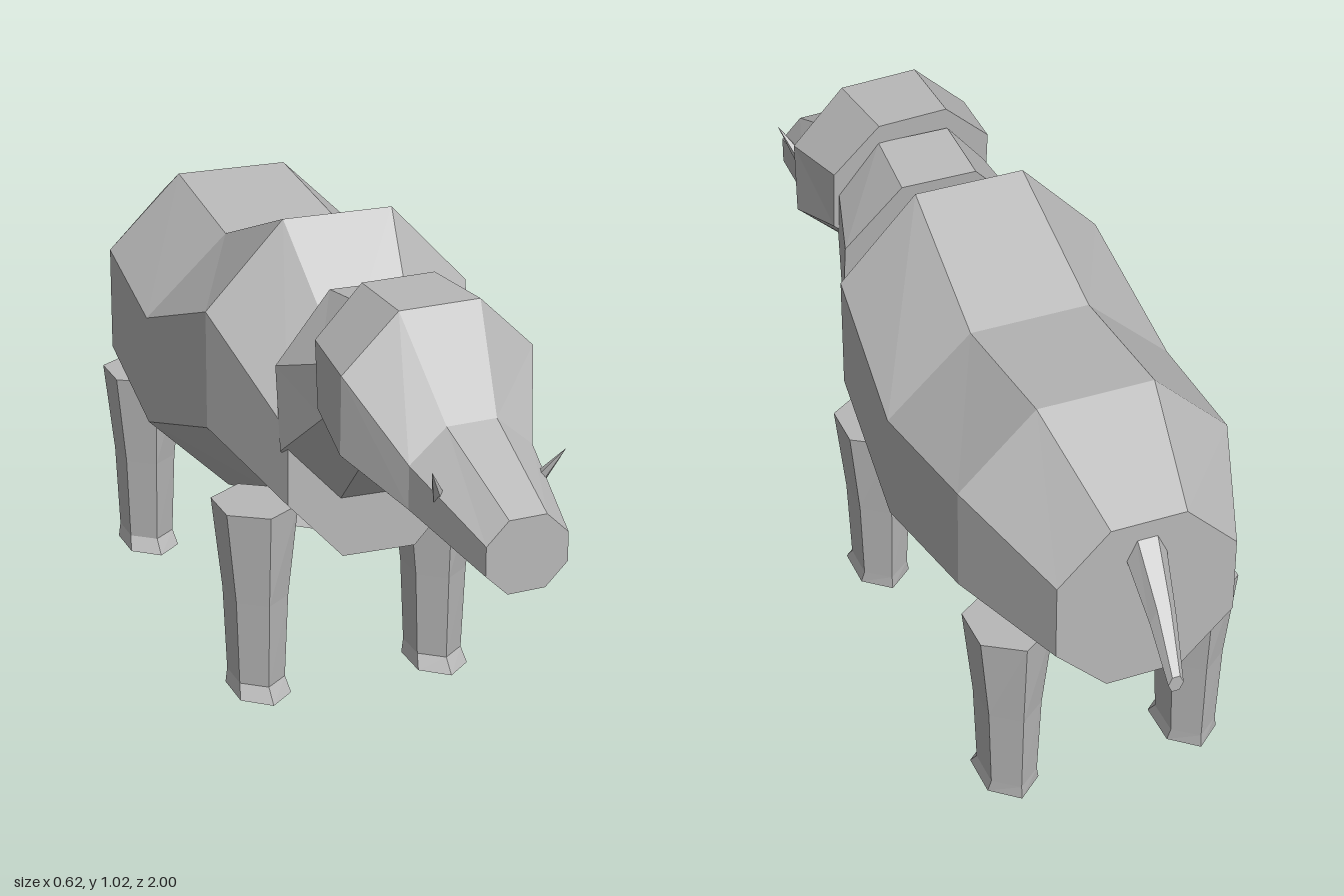
import * as THREE from 'three';

const hide = new THREE.MeshStandardMaterial({ color: 0xb8b8b8, flatShading: true });
hide.name = 'grey hide';

// Skin over rings of points, counter-clockwise about the direction of travel, with closed ends
function loft(name, rings) {
  const n = rings[0].length, index = [];
  for (let r = 0; r < rings.length - 1; r++) {
    for (let i = 0; i < n; i++) {
      const j = (i + 1) % n, a = r * n, b = a + n;
      index.push(a + i, a + j, b + j, a + i, b + j, b + i);
    }
  }
  const last = (rings.length - 1) * n;
  for (let i = 1; i < n - 1; i++) index.push(0, i + 1, i, last, last + i, last + i + 1);
  const g = new THREE.BufferGeometry();
  g.setAttribute('position', new THREE.Float32BufferAttribute(rings.flat(2), 3));
  g.setIndex(index);
  const flat = g.toNonIndexed();
  flat.computeVertexNormals();
  const mesh = new THREE.Mesh(flat, hide);
  mesh.name = name;
  return mesh;
}

// Octagon across z: heights of the four corner rows, half widths, z at top and bottom
function octagon([zTop, zBottom, top, upper, lower, bottom, xFlat, xSide]) {
  const z = y => zBottom + (zTop - zBottom) * (y - bottom) / (top - bottom);
  return [
    [xSide, lower], [xSide, upper], [xFlat, top], [-xFlat, top],
    [-xSide, upper], [-xSide, lower], [-xFlat, bottom], [xFlat, bottom],
  ].map(([x, y]) => [x, y, z(y)]);
}

// Six-sided leg section at height y, pointed to the front and back
function legRing([y, halfWidth, back, front]) {
  const mid = (front + back) / 2, r = (front - back) / 2;
  return Array.from({ length: 6 }, (_, i) => {
    const a = Math.PI / 6 + i * Math.PI / 3;
    return [Math.cos(a) / Math.cos(Math.PI / 6) * halfWidth, y, mid - Math.sin(a) * r];
  });
}

export function createModel() {
  const model = new THREE.Group();
  model.name = 'animal';

  // Barrel body with a high shoulder
  model.add(loft('body', [
    [-0.80, -0.80, 0.81, 0.70, 0.53, 0.42, 0.08, 0.19],
    [-0.54, -0.54, 0.93, 0.77, 0.54, 0.375, 0.125, 0.29],
    [-0.21, -0.21, 0.89, 0.72, 0.48, 0.305, 0.13, 0.312],
    [0.12, 0.12, 1.02, 0.84, 0.585, 0.40, 0.12, 0.29],
    [0.36, 0.36, 0.77, 0.65, 0.49, 0.36, 0.08, 0.20],
  ].map(octagon)));

  // Neck, leaning forward
  model.add(loft('neck', [
    [0.295, 0.36, 0.92, 0.78, 0.605, 0.49, 0.085, 0.21],
    [0.45, 0.49, 0.94, 0.83, 0.72, 0.63, 0.08, 0.17],
  ].map(octagon)));

  // Head and snout, turned slightly to one side
  const head = new THREE.Group();
  head.name = 'head';
  head.position.z = 0.45;
  head.rotation.y = 0.07;
  head.add(loft('skull', [
    [0, 0.03, 0.985, 0.885, 0.745, 0.635, 0.08, 0.185],
    [0.18, 0.17, 0.985, 0.87, 0.705, 0.592, 0.088, 0.208],
    [0.32, 0.32, 0.792, 0.725, 0.635, 0.563, 0.054, 0.133],
    [0.55, 0.55, 0.685, 0.64, 0.58, 0.535, 0.04, 0.087],
  ].map(octagon)));

  // Tusks
  for (const side of [-1, 1]) {
    const base = new THREE.Vector3(side * 0.095, 0.66, 0.38);
    const axis = new THREE.Vector3(side * 0.143, 0.757, 0.434).sub(base);
    const tusk = new THREE.Mesh(new THREE.ConeGeometry(0.018, axis.length(), 5), hide);
    tusk.name = side > 0 ? 'leftTusk' : 'rightTusk';
    tusk.position.copy(base).addScaledVector(axis, 0.5);
    tusk.quaternion.setFromUnitVectors(new THREE.Vector3(0, 1, 0), axis.clone().normalize());
    head.add(tusk);
  }
  model.add(head);

  // Tapering tail, from tip to root
  const tail = [
    [-1.0, 0.59, 0.555, 0.028, 0.016],
    [-0.91, 0.685, 0.622, 0.016, 0.028],
    [-0.78, 0.785, 0.69, 0, 0.045],
  ].map(([z, top, bottom, x, w]) => {
    const mid = (top + bottom) / 2;
    return [
      [x + w, mid, z], [x + w / 2, top, z], [x - w / 2, top, z],
      [x - w, mid, z], [x - w / 2, bottom, z], [x + w / 2, bottom, z],
    ];
  });
  model.add(loft('tail', tail));

  // Legs with flared hooves; the hind pair stands a little higher
  const legRings = [
    [0, 0.057, 0.085, 0.28],
    [0.03, 0.051, 0.088, 0.25],
    [0.22, 0.058, 0.08, 0.257],
    [0.425, 0.079, 0.065, 0.27],
  ].map(legRing);
  for (const [pair, y, z] of [['front', 0, 0], ['hind', 0.033, -0.757]]) {
    for (const side of [-1, 1]) {
      const leg = loft(pair + (side > 0 ? 'LeftLeg' : 'RightLeg'), legRings);
      leg.position.set(side * 0.204, y, z);
      model.add(leg);
    }
  }
  return model;
}
